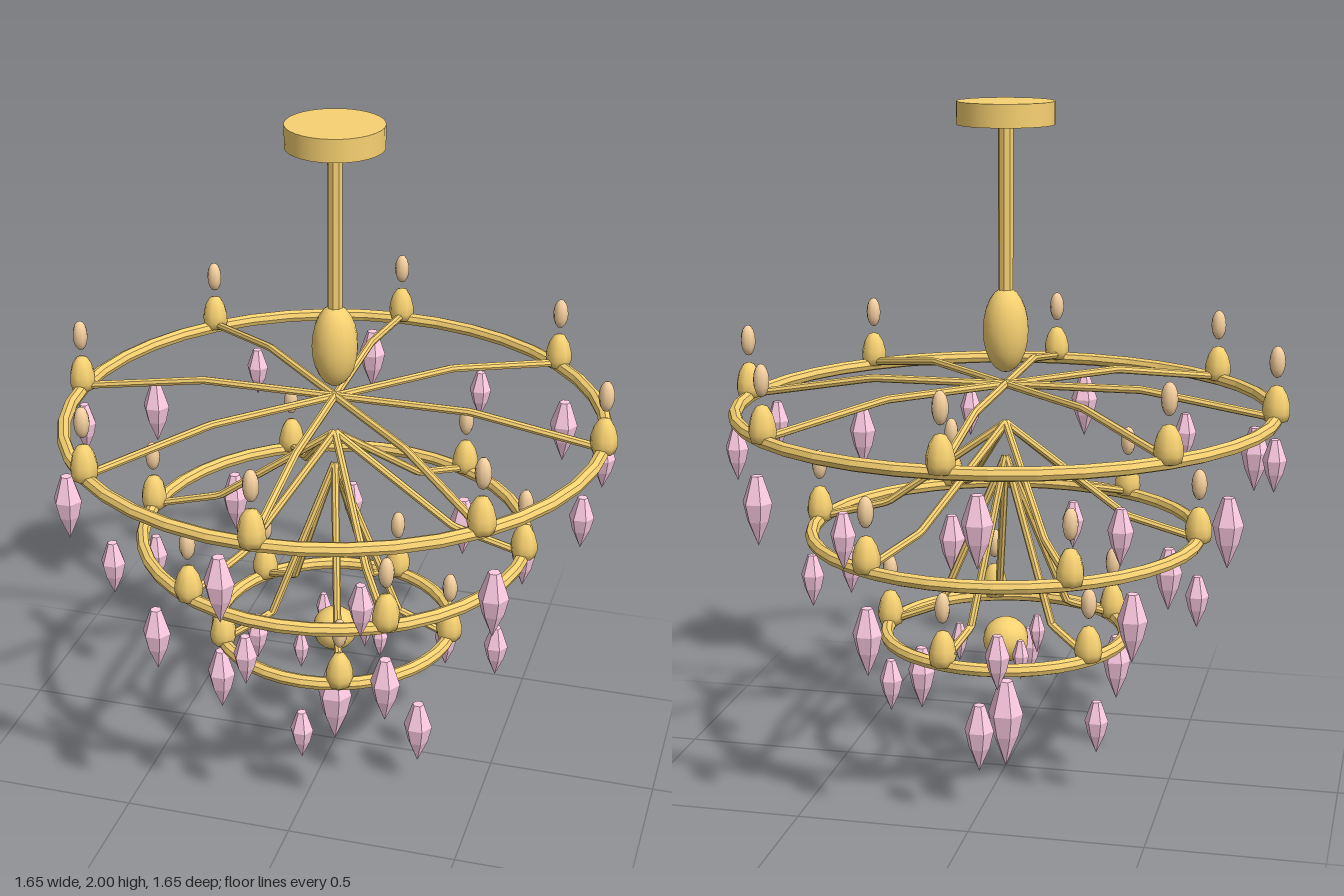
import * as THREE from 'three';

const gold = new THREE.MeshStandardMaterial({ color: 0xf8d272 });
const facetedGold = new THREE.MeshStandardMaterial({ color: 0xf8d272, flatShading: true });
const pink = new THREE.MeshStandardMaterial({ color: 0xffcce4, flatShading: true });
const amber = new THREE.MeshStandardMaterial({ color: 0xf8d2a0 });

function add(parent, name, geometry, material, x = 0, y = 0, z = 0) {
  const mesh = new THREE.Mesh(geometry, material);
  mesh.name = name;
  mesh.position.set(x, y, z);
  parent.add(mesh);
  return mesh;
}

const lathe = (points, sides, start = 0) =>
  new THREE.LatheGeometry(points.map(([r, y]) => new THREE.Vector2(r, y)), sides, start);

// Faceted drop hanging down from its top at y = 0
const drop = (r, length) =>
  lathe([[0, -length], [r * 0.72, -0.64 * length], [r, -0.38 * length], [r * 0.4, 0], [0, 0]], 6, Math.PI / 2);

// Arm in the x-y plane: out from the axis, a bend, then to the ring
function armGeometry(apex, bend, end) {
  const path = new THREE.CurvePath();
  const pts = [[0, apex], bend, end].map(([x, y]) => new THREE.Vector3(x, y, 0));
  path.add(new THREE.LineCurve3(pts[0], pts[1]));
  path.add(new THREE.LineCurve3(pts[1], pts[2]));
  return new THREE.TubeGeometry(path, 32, 0.012, 8);
}

// Distances of the drops below their ring: high, middle, low
const hang = [0.055, 0.106, 0.136];

// levels: repeating choice from hang; bigOn: which parity of drops is large
const tiers = [
  { name: 'upper', y: 1.113, r: 0.785, arms: 8, drops: 13, apex: 1.185, bend: [0.4, 1.185], levels: [0, 2, 1], bigOn: 1 },
  { name: 'middle', y: 0.744, r: 0.572, arms: 6, drops: 9, apex: 1.07, bend: [0.36, 0.81], levels: [2, 1, 0], bigOn: 1 },
  { name: 'lower', y: 0.431, r: 0.356, arms: 5, drops: 6, apex: 0.97, bend: [0.2, 0.5], levels: [2, 1, 0], bigOn: 0 },
];

export function createModel() {
  const model = new THREE.Group();
  model.name = 'chandelier';

  // Ceiling plate, rod, hub and lower ball
  add(model, 'ceilingPlate', new THREE.CylinderGeometry(0.14, 0.14, 0.066, 32), gold, 0, 1.967, 0);
  add(model, 'rod', new THREE.CylinderGeometry(0.022, 0.022, 0.56, 8), facetedGold, 0, 1.68, 0);
  add(model, 'hub', new THREE.SphereGeometry(0.067, 16, 12), gold, 0, 1.345, 0).scale.y = 1.86;
  add(model, 'lowerBall', new THREE.SphereGeometry(0.068, 16, 12), gold, 0, 0.405, 0);

  // Centre pendant and three small drops round the ball
  add(model, 'centrePendant', drop(0.054, 0.272), pink, 0, 0.272, 0);
  const smallDrop = drop(0.025, 0.12);
  for (let i = 0; i < 3; i++) {
    const a = (i * 2 * Math.PI) / 3;
    add(model, 'smallDrop', smallDrop, pink, 0.142 * Math.cos(a), 0.445, 0.142 * Math.sin(a));
  }

  const cup = lathe([[0, -0.01], [0.034, 0], [0.04, 0.022], [0.039, 0.045], [0.031, 0.075], [0.017, 0.098], [0, 0.104]], 8);
  const bulb = new THREE.SphereGeometry(0.023, 8, 8).scale(1, 2, 1);
  const dropGeometry = [drop(0.035, 0.157), drop(0.043, 0.2)];

  for (const t of tiers) {
    const tier = new THREE.Group();
    tier.name = t.name + 'Tier';
    model.add(tier);

    // Ring
    const ring = new THREE.TorusGeometry(t.r, 0.02, 8, 40).rotateX(Math.PI / 2);
    add(tier, 'ring', ring, facetedGold, 0, t.y, 0);

    // Arms, each ending in a cup with a bulb above it
    const arm = armGeometry(t.apex, t.bend, [t.r, t.y + 0.008]);
    for (let i = 0; i < t.arms; i++) {
      const branch = new THREE.Group();
      branch.name = 'branch';
      branch.rotation.y = (i * 2 * Math.PI) / t.arms;
      add(branch, 'arm', arm, facetedGold);
      add(branch, 'cup', cup, gold, t.r, t.y, 0);
      add(branch, 'bulb', bulb, amber, t.r, t.y + 0.17, 0);
      tier.add(branch);
    }

    // Hanging drops, spaced evenly at varied heights and sizes
    for (let i = 0; i < t.drops; i++) {
      const a = ((i + 0.5) * 2 * Math.PI) / t.drops;
      const y = t.y - hang[t.levels[i % 3]];
      const geometry = dropGeometry[i % 2 === t.bigOn ? 1 : 0];
      add(tier, 'drop', geometry, pink, t.r * Math.cos(a), y, t.r * Math.sin(a));
    }
  }
  return model;
}
